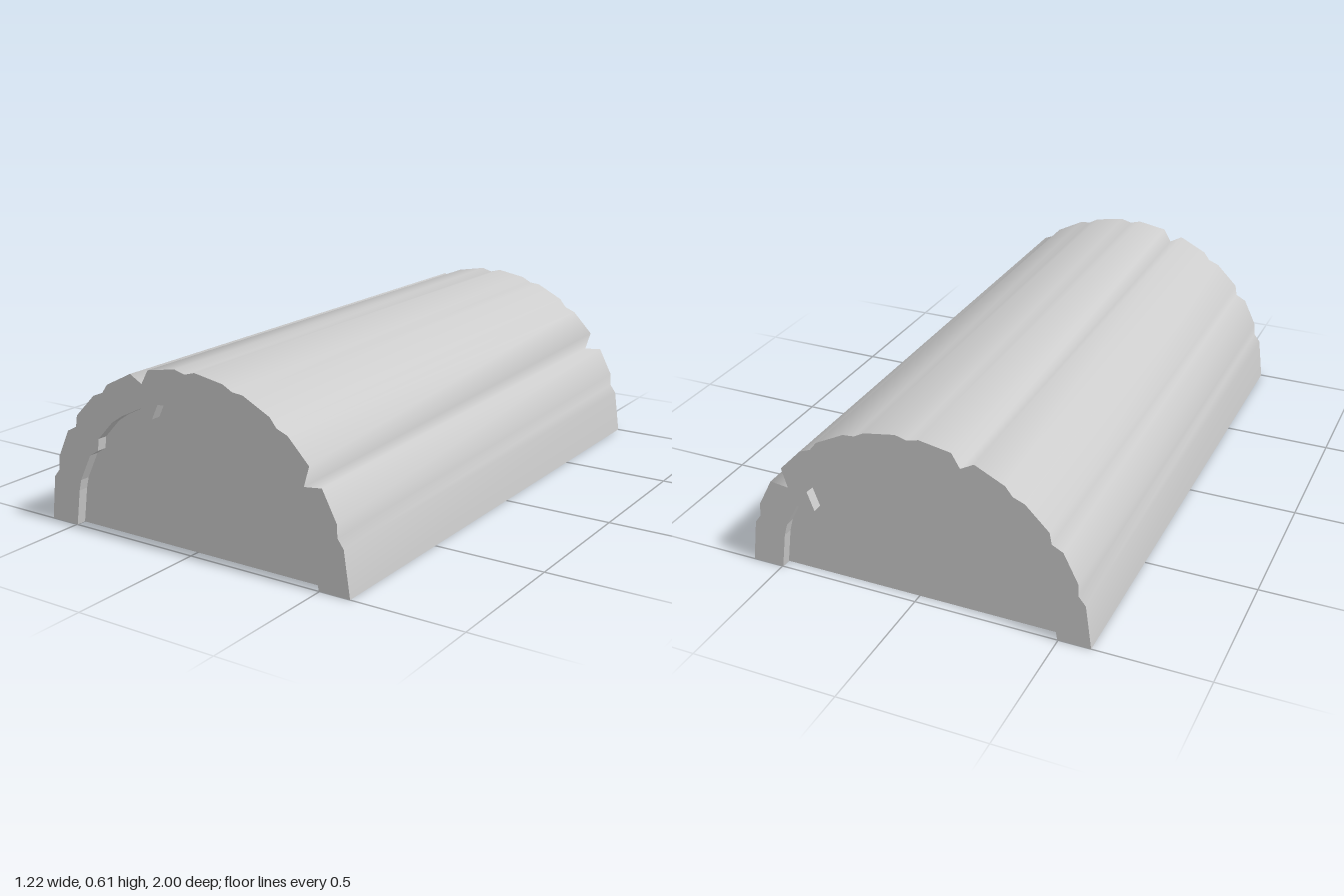
import * as THREE from 'three';

// Bark outline, left foot to right foot
const OUTER = [
  [-0.61, 0], [-0.59, 0.155], [-0.566, 0.185], [-0.564, 0.23], [-0.515, 0.33], [-0.477, 0.35],
  [-0.47, 0.39], [-0.39, 0.47], [-0.35, 0.486], [-0.327, 0.517], [-0.225, 0.568], [-0.178, 0.542],
  [-0.15, 0.591], [-0.04, 0.61], [0, 0.599], [0.04, 0.61], [0.15, 0.591], [0.185, 0.572],
  [0.225, 0.568], [0.325, 0.517], [0.35, 0.486], [0.39, 0.47], [0.467, 0.39], [0.447, 0.322],
  [0.512, 0.33], [0.564, 0.23], [0.566, 0.185], [0.588, 0.155], [0.61, 0],
];

// Outline of the sunken end panels
const INNER = [
  [-0.497, 0], [-0.478, 0.126], [-0.468, 0.165], [-0.42, 0.26], [-0.383, 0.283], [-0.377, 0.325],
  [-0.315, 0.39], [-0.27, 0.42], [-0.187, 0.46], [-0.14, 0.432], [-0.115, 0.483], [0, 0.497],
  [0.115, 0.483], [0.187, 0.46], [0.29, 0.405], [0.377, 0.323], [0.353, 0.256], [0.42, 0.26],
  [0.465, 0.175], [0.478, 0.13], [0.497, 0],
];

const HALF = 1;
const RECESS = 0.035;

// Sweep an open outline along z
function strip(points, zFront, zBack) {
  const positions = [], index = [];
  points.forEach(([x, y], i) => {
    positions.push(x, y, zFront, x, y, zBack);
    if (i < points.length - 1) {
      const a = 2 * i;
      index.push(a, a + 2, a + 1, a + 2, a + 3, a + 1);
    }
  });
  const geometry = new THREE.BufferGeometry();
  geometry.setAttribute('position', new THREE.Float32BufferAttribute(positions, 3));
  geometry.setIndex(index);
  geometry.computeVertexNormals();
  return geometry;
}

function flatShape(points) {
  return new THREE.ShapeGeometry(new THREE.Shape(points.map(([x, y]) => new THREE.Vector2(x, y))));
}

export function createModel() {
  const group = new THREE.Group();
  group.name = 'halfLog';
  const smooth = new THREE.MeshStandardMaterial({ color: 0xcccccc, side: THREE.DoubleSide });
  const flat = new THREE.MeshStandardMaterial({ color: 0xcccccc, side: THREE.DoubleSide, flatShading: true });

  const add = (parent, name, geometry, material) => {
    const mesh = new THREE.Mesh(geometry, material);
    mesh.name = name;
    parent.add(mesh);
    return mesh;
  };

  // Thin bark shell, open underneath
  add(group, 'barkShell', strip(OUTER, HALF, -HALF), smooth);

  // Each end: bark rim, recess wall and sunken panel
  const reversedInner = [...INNER].reverse();
  const rim = flatShape([...OUTER, ...reversedInner]);
  const wall = strip(reversedInner, 0, -RECESS);
  const panel = flatShape(INNER);
  for (const [name, turn] of [['frontEnd', 1], ['backEnd', -1]]) {
    const end = new THREE.Group();
    end.name = name;
    end.position.z = turn * HALF;
    end.scale.z = turn;
    add(end, 'barkRim', rim, flat);
    add(end, 'recessWall', wall, flat);
    add(end, 'endPanel', panel, flat).position.z = -RECESS;
    group.add(end);
  }
  return group;
}
